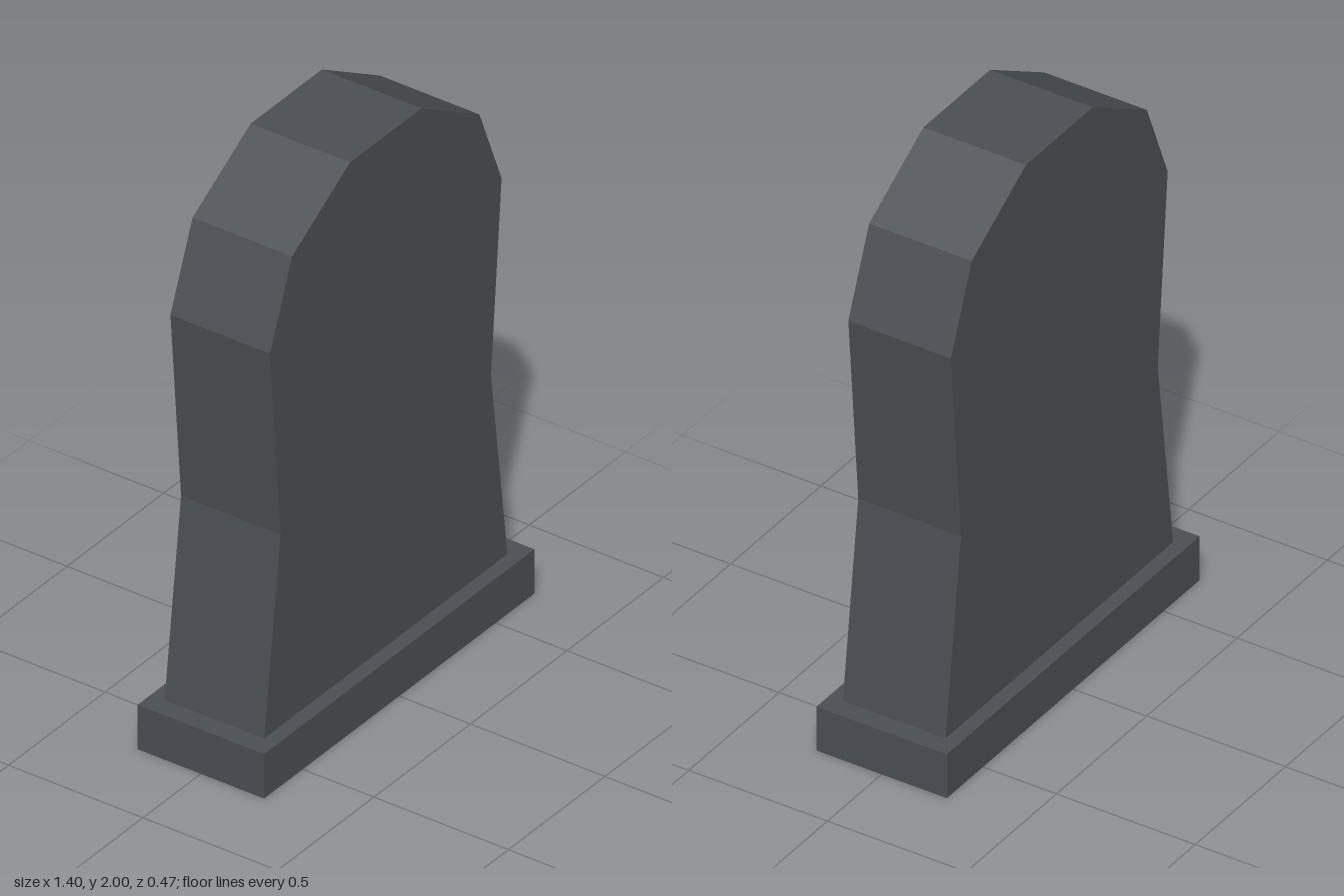
import * as THREE from 'three';

const stone = new THREE.MeshStandardMaterial({ color: 0x4b4e53, flatShading: true });
stone.name = 'dark stone';

const BODY_HALF_WIDTH = 0.63, BODY_HALF_DEPTH = 0.185, BASE_HEIGHT = 0.16;

// Corner points of a rectangle centred on the origin
const rectangle = (w, d) =>
  [[-w, -d], [w, -d], [w, d], [-w, d]].map(([x, y]) => new THREE.Vector2(x, y));

function part(name, geometry) {
  const mesh = new THREE.Mesh(geometry, stone);
  mesh.name = name;
  return mesh;
}

export function createModel() {
  const model = new THREE.Group();
  model.name = 'gravestone';

  // Plinth: a frame, open underneath below the slab
  const frame = new THREE.Shape(rectangle(0.7, 0.235));
  frame.holes.push(new THREE.Path(rectangle(BODY_HALF_WIDTH, BODY_HALF_DEPTH).reverse()));
  const plinth = new THREE.ExtrudeGeometry(frame, { depth: BASE_HEIGHT, bevelEnabled: false });
  plinth.rotateX(-Math.PI / 2);
  model.add(part('plinth', plinth));

  // Slab: waisted sides and a faceted round head, mirrored in x
  const side = [[BODY_HALF_WIDTH, BASE_HEIGHT], [0.545, 0.85], [0.6, 1.53], [0.485, 1.82], [0.185, 2]];
  const outline = [...side, ...side.map(([x, y]) => [-x, y]).reverse()];
  const slab = new THREE.ExtrudeGeometry(
    new THREE.Shape(outline.map(([x, y]) => new THREE.Vector2(x, y))),
    { depth: 2 * BODY_HALF_DEPTH, bevelEnabled: false }
  );
  slab.translate(0, 0, -BODY_HALF_DEPTH);
  model.add(part('slab', slab));

  return model;
}
